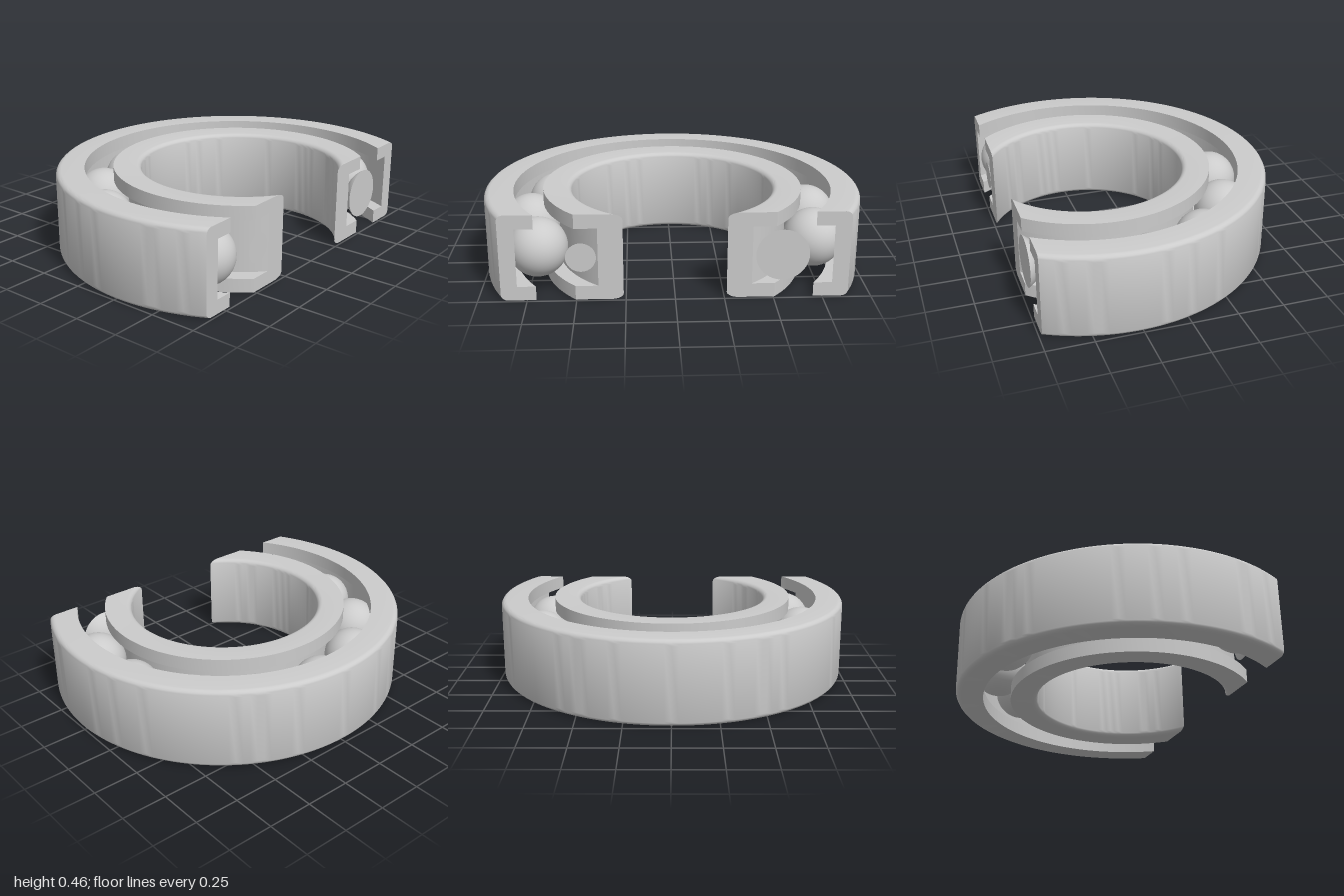
import * as THREE from 'three';
import { toCreasedNormals } from 'three/addons/utils/BufferGeometryUtils.js';

const CUT = 0.47;      // distance of the cutting plane from the bearing axis
const HEIGHT = 0.46;
const FILLET = 0.03;
const GROOVE = [0.075, 0.385];
const material = new THREE.MeshStandardMaterial({ color: 0xcccccc });

function addMesh(parent, name, geometry) {
  const mesh = new THREE.Mesh(geometry, material);
  mesh.name = name;
  parent.add(mesh);
  return mesh;
}

// C-shaped cross-section (radius, y): filleted at the wall, grooved at the lips
function ringProfile(wall, floor, lip) {
  const side = Math.sign(wall - lip);
  const points = [];
  const add = (r, y) => points.push(new THREE.Vector2(r, y));
  const corner = (y, from) => {
    for (let i = 0; i <= 5; i++) {
      const a = from + (i / 5) * Math.PI / 2;
      add(wall - side * FILLET * (1 - Math.cos(a)), y + FILLET * Math.sin(a));
    }
  };
  add(lip, 0);
  corner(FILLET, -Math.PI / 2);
  corner(HEIGHT - FILLET, 0);
  add(lip, HEIGHT);
  add(lip, GROOVE[1]);
  add(floor, GROOVE[1]);
  add(floor, GROOVE[0]);
  add(lip, GROOVE[0]);
  if (side < 0) points.reverse(); // keep the outline counter-clockwise
  return points;
}

// Ring swept around the axis, ending exactly on the plane x = CUT
function cutRing(name, wall, floor, lip) {
  const group = new THREE.Group();
  group.name = name;
  const profile = ringProfile(wall, floor, lip);
  const segments = 112;
  const body = new THREE.LatheGeometry([...profile, profile[0].clone()], segments);
  const pos = body.attributes.position;
  const rows = profile.length + 1;
  for (let i = 0; i < pos.count; i++) {
    const r = profile[(i % rows) % profile.length].x;
    const t = Math.floor(i / rows) / segments;
    const start = Math.acos(CUT / r);
    const angle = start + t * 2 * (Math.PI - start);
    pos.setXYZ(i, r * Math.cos(angle), pos.getY(i), -r * Math.sin(angle));
  }
  body.deleteAttribute('normal');
  body.deleteAttribute('uv');
  addMesh(group, name + 'Body', toCreasedNormals(body, 0.6));

  // flat cut faces on both ends
  for (const s of [1, -1]) {
    const outline = profile.map(p => new THREE.Vector2(s * Math.sqrt(p.x ** 2 - CUT ** 2), p.y));
    const face = new THREE.ShapeGeometry(new THREE.Shape(outline));
    face.rotateY(Math.PI / 2);
    face.translate(CUT, 0, 0);
    addMesh(group, name + 'CutFace', face);
  }
  return group;
}

// Balls in the groove, sliced where they cross the cutting plane
function ballSet() {
  const group = new THREE.Group();
  group.name = 'balls';
  const count = 13, pitch = 0.7685, radius = 0.155;
  for (let k = 0; k < count; k++) {
    const a = THREE.MathUtils.degToRad(3.4) + (k / count) * Math.PI * 2;
    const x = -pitch * Math.cos(a), z = pitch * Math.sin(a);
    const h = CUT - x; // room between ball centre and plane
    if (h <= -radius) continue;
    const sliced = h < radius;
    const theta = sliced ? Math.acos(-h / radius) : Math.PI;
    const sphere = new THREE.SphereGeometry(radius, 40, 28, 0, Math.PI * 2, 0, theta);
    sphere.rotateZ(Math.PI / 2);
    addMesh(group, 'ball', sphere).position.set(x, HEIGHT / 2, z);
    if (sliced) {
      const cap = new THREE.CircleGeometry(radius * Math.sin(theta), 40);
      cap.rotateY(Math.PI / 2);
      addMesh(group, 'ballCutFace', cap).position.set(CUT, HEIGHT / 2, z);
    }
  }
  return group;
}

export function createModel() {
  const model = new THREE.Group();
  model.name = 'cutawayBallBearing';
  model.add(
    cutRing('outerRing', 1, 0.927, 0.846),
    cutRing('innerRing', 0.538, 0.61, 0.69),
    ballSet(),
  );
  // centre the cutaway on x
  for (const part of model.children) part.position.x = (1 - CUT) / 2;
  return model;
}
